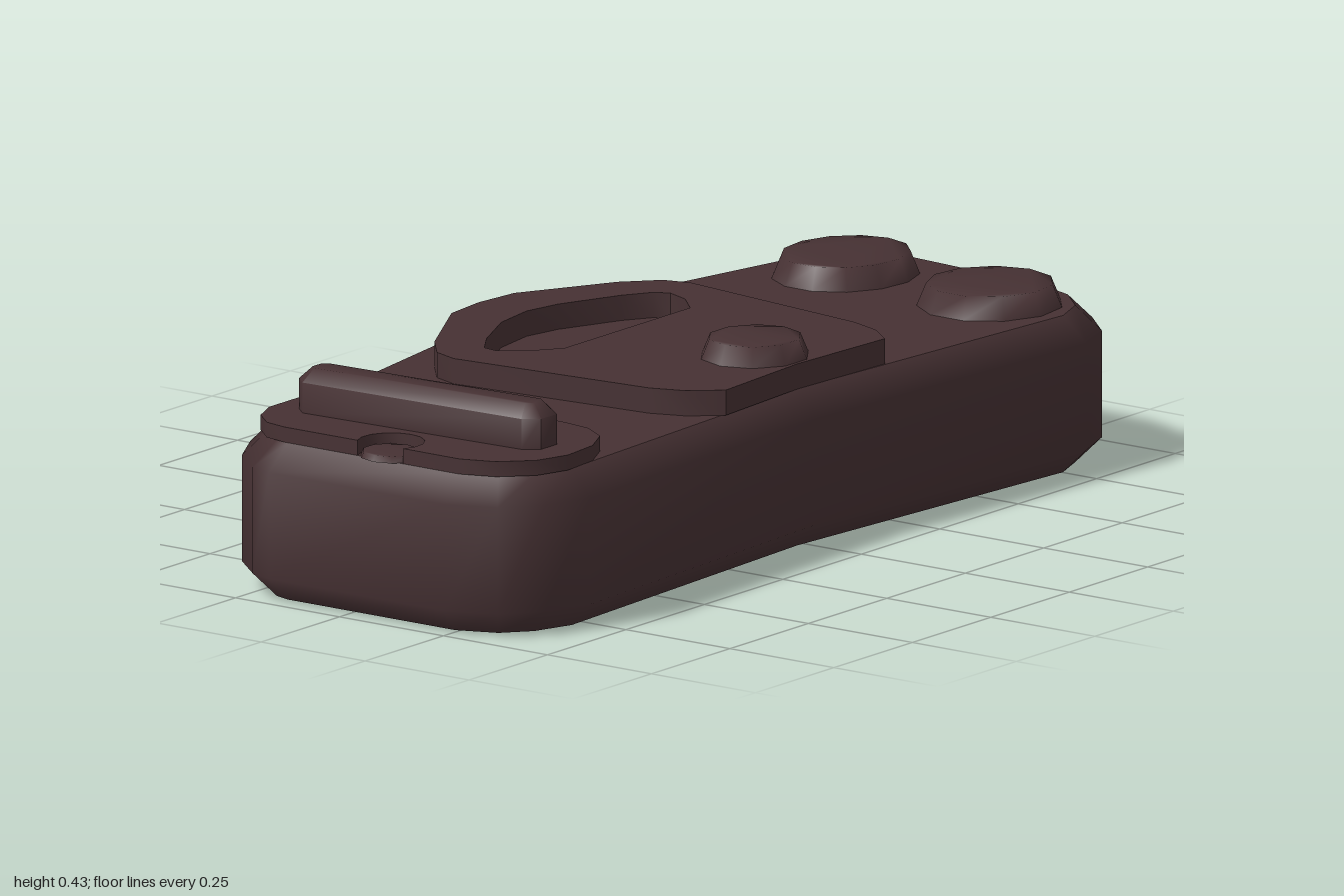
import * as THREE from 'three';
import { toCreasedNormals } from 'three/addons/utils/BufferGeometryUtils.js';

// Outlines are [x, z] points, running anticlockwise as seen from above.

// Move an outline inwards by d with mitred corners.
function inset(pts, d) {
  const n = pts.length;
  const normal = (a, b) => {
    const dx = b[0] - a[0], dz = b[1] - a[1], l = Math.hypot(dx, dz);
    return [dz / l, -dx / l];
  };
  return pts.map((p, i) => {
    const a = normal(pts[(i + n - 1) % n], p);
    const b = normal(p, pts[(i + 1) % n]);
    const k = d / (1 + a[0] * b[0] + a[1] * b[1]);
    return [p[0] + (a[0] + b[0]) * k, p[1] + (a[1] + b[1]) * k];
  });
}

// Stack an outline through [height, inset] levels; the top is sharp or blended into the sides.
function loft(outline, levels, blendTop = false) {
  const n = outline.length, pos = [], idx = [];
  const rings = levels.map(([y, d]) => inset(outline, d).map(([x, z]) => [x, y, z]));
  rings.forEach((r) => r.forEach((p) => pos.push(...p)));
  for (let k = 0; k + 1 < rings.length; k++) {
    for (let i = 0; i < n; i++) {
      const a = k * n + i, b = k * n + (i + 1) % n;
      idx.push(a, b, b + n, a, b + n, a + n);
    }
  }
  const cap = (ring, up) => {
    let base = (rings.length - 1) * n;
    if (!(up && blendTop)) {
      base = pos.length / 3;
      ring.forEach((p) => pos.push(...p));
    }
    const contour = ring.map((p) => new THREE.Vector2(p[0], -p[2]));
    THREE.ShapeUtils.triangulateShape(contour, []).forEach(([a, b, c]) =>
      idx.push(base + a, base + (up ? b : c), base + (up ? c : b)));
  };
  cap(rings[0], false);
  cap(rings[rings.length - 1], true);
  const g = new THREE.BufferGeometry();
  g.setAttribute('position', new THREE.Float32BufferAttribute(pos, 3));
  g.setIndex(idx);
  g.computeVertexNormals();
  return g;
}

// Straight-walled plate with optional cut-out.
function plate(outline, y0, y1, hole) {
  const vec = (pts) => pts.map(([x, z]) => new THREE.Vector2(x, -z));
  const shape = new THREE.Shape(vec(outline));
  if (hole) shape.holes.push(new THREE.Path(vec(hole)));
  const g = new THREE.ExtrudeGeometry(shape, { depth: y1 - y0, bevelEnabled: false });
  g.rotateX(-Math.PI / 2).translate(0, y0, 0);
  return toCreasedNormals(g, 0.7);
}

// Arc in the plan from angle a to b, in degrees.
function arc(cx, cz, rx, rz, a, b, steps) {
  return Array.from({ length: steps + 1 }, (_, i) => {
    const t = THREE.MathUtils.degToRad(a + (b - a) * i / steps);
    return [cx + rx * Math.cos(t), cz + rz * Math.sin(t)];
  });
}

export function createModel() {
  const group = new THREE.Group();
  const shell = new THREE.MeshStandardMaterial({ color: 0x463133 });
  shell.name = 'dark brown shell';
  const add = (name, geometry) => {
    const mesh = new THREE.Mesh(geometry, shell);
    mesh.name = name;
    group.add(mesh);
  };

  // Bent body with chamfered rims
  const body = [
    [0.07, -0.47], [-0.05, -0.47], [-0.82, -0.35], [-0.92, -0.295], [-0.985, -0.22], [-1, -0.17],
    [-1, 0.25], [-0.96, 0.35], [-0.89, 0.41], [-0.79, 0.445], [-0.02, 0.41],
    [0.76, 0.468], [0.86, 0.43], [0.935, 0.35], [0.97, 0.25],
    [1, -0.12], [0.99, -0.19], [0.94, -0.255], [0.86, -0.31],
  ];
  add('body', loft(body, [[0, 0.05], [0.05, 0], [0.26, 0], [0.31, 0.05]]));

  // Raised centre panel with a D-shaped recess
  const panel = [
    [0.1, -0.41], [0, -0.42], [-0.1, -0.41], [-0.3, -0.3], [-0.365, -0.245], [-0.385, -0.19],
    [-0.345, 0.25], [-0.32, 0.32], [-0.27, 0.378], [-0.02, 0.362],
    [0.24, 0.376], [0.285, 0.32], [0.31, 0.25],
    [0.37, -0.19], [0.355, -0.245], [0.29, -0.305],
  ];
  const recess = [
    [0.08, -0.29], [0, -0.305], [-0.1, -0.29], [-0.22, -0.235], [-0.28, -0.195], [-0.285, -0.165],
    [-0.25, -0.115], [-0.19, -0.07], [0.21, -0.07], [0.26, -0.12], [0.28, -0.17], [0.265, -0.2], [0.21, -0.235],
  ];
  add('centrePanel', plate(panel, 0.31, 0.36, recess));

  // Round buttons: centre, radii, base and top heights, sides
  [
    ['rearButton', 0.765, -0.115, 0.155, 0.137, 0.31, 0.354, 13],
    ['frontButton', 0.742, 0.25, 0.145, 0.14, 0.31, 0.354, 11],
    ['centreButton', -0.015, 0.255, 0.11, 0.105, 0.36, 0.398, 10],
    ['sideNubLeft', -0.64, 0.04, 0.07, 0.065, 0.31, 0.322, 10],
    ['sideNubRight', -0.915, 0.06, 0.058, 0.062, 0.31, 0.322, 10],
  ].forEach(([name, x, z, rx, rz, y0, y1, sides]) => {
    const ring = arc(x, z, rx, rz, 0, -360 * (sides - 1) / sides, sides - 1);
    add(name, loft(ring, [[y0, 0], [y1, (y1 - y0) * 0.4]], true));
  });

  // Slider plate with a round notch in each long side
  const sliderPlate = [
    [-0.7, -0.29], [-0.84, -0.29], [-0.9, -0.265], [-0.94, -0.22], [-0.95, -0.17],
    ...arc(-0.915, 0.06, 0.065, 0.065, -122, 122, 10),
    [-0.95, 0.25], [-0.925, 0.32], [-0.87, 0.375], [-0.8, 0.398],
    [-0.71, 0.39], [-0.64, 0.355], [-0.605, 0.3], [-0.595, 0.24],
    ...arc(-0.64, 0.04, 0.075, 0.075, 48, 312, 10),
    [-0.59, -0.16], [-0.605, -0.215], [-0.645, -0.265],
  ];
  add('sliderPlate', plate(sliderPlate, 0.31, 0.34));

  // Slider bar with chamfered top
  const bar = [
    [-0.765, -0.237], [-0.815, -0.237], [-0.84, -0.21],
    [-0.818, 0.3], [-0.795, 0.33], [-0.745, 0.33], [-0.72, 0.3], [-0.743, -0.21],
  ];
  add('sliderBar', toCreasedNormals(loft(bar, [[0.34, 0], [0.4, 0], [0.425, 0.025]]), 0.9));

  return group;
}
